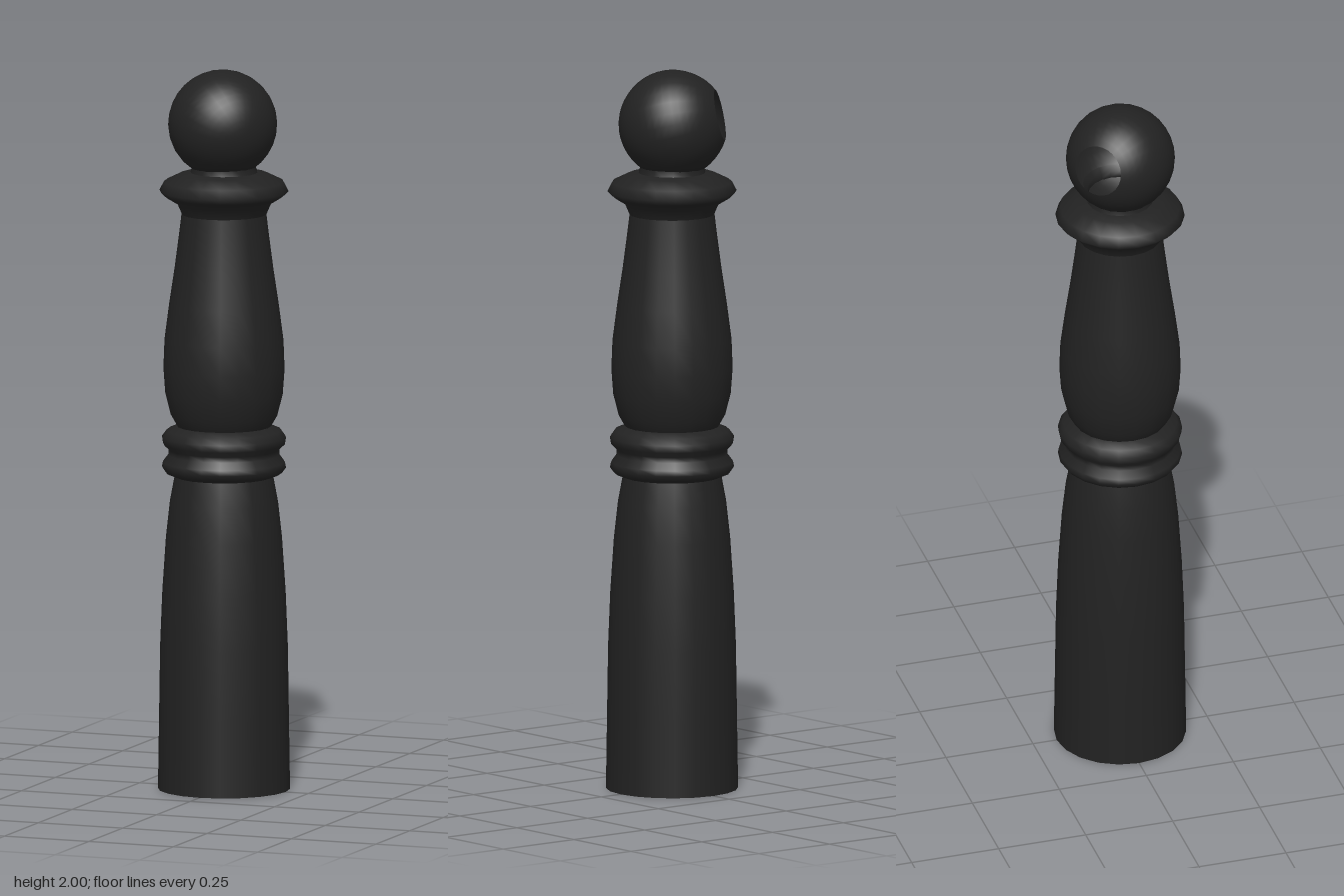
import * as THREE from 'three';

const SIDES = 20;

export function createModel() {
  const model = new THREE.Group();
  model.name = 'turnedPost';
  // Thin open shell: the foot and the socket in the ball are both open
  const black = new THREE.MeshStandardMaterial({ color: 0x222222, side: THREE.DoubleSide });
  black.name = 'black';

  // Adds one turned section from [radius, height] pairs
  const turned = (name, profile) => {
    const points = profile.map(([r, y]) => new THREE.Vector2(r, y));
    const mesh = new THREE.Mesh(new THREE.LatheGeometry(points, SIDES), black);
    mesh.name = name;
    model.add(mesh);
  };

  turned('lowerShaft', [
    [0.182, 0], [0.179, 0.2], [0.176, 0.4], [0.170, 0.55],
    [0.160, 0.7], [0.149, 0.8], [0.136, 0.87],
  ]);
  turned('doubleRing', [
    [0.136, 0.87], [0.160, 0.88], [0.171, 0.895], [0.168, 0.91], [0.153, 0.93],
    [0.153, 0.945], [0.168, 0.96], [0.171, 0.98], [0.158, 0.998], [0.130, 1.01],
  ]);
  turned('upperShaft', [
    [0.130, 1.01], [0.147, 1.04], [0.162, 1.1], [0.167, 1.17], [0.164, 1.25],
    [0.151, 1.35], [0.136, 1.45], [0.123, 1.55], [0.117, 1.6],
  ]);
  turned('collar', [
    [0.117, 1.6], [0.130, 1.63], [0.163, 1.65], [0.178, 1.665],
    [0.165, 1.69], [0.122, 1.711], [0.092, 1.716],
  ]);
  turned('neck', [[0.092, 1.716], [0.087, 1.735], [0.09, 1.75], [0.102, 1.765]]);

  // Ball, with its pole turned to the rear so the open socket faces back
  const socketAngle = 0.49;
  const ball = new THREE.Mesh(
    new THREE.SphereGeometry(0.15, 28, 20, 0, Math.PI * 2, socketAngle, Math.PI - socketAngle),
    black
  );
  ball.name = 'ballFinial';
  const tilt = 0.21;
  const flat = -Math.cos(tilt) * Math.SQRT1_2;
  ball.quaternion.setFromUnitVectors(
    new THREE.Vector3(0, 1, 0),
    new THREE.Vector3(flat, Math.sin(tilt), flat)
  );
  ball.position.set(-0.004, 1.85, 0);
  model.add(ball);

  return model;
}
